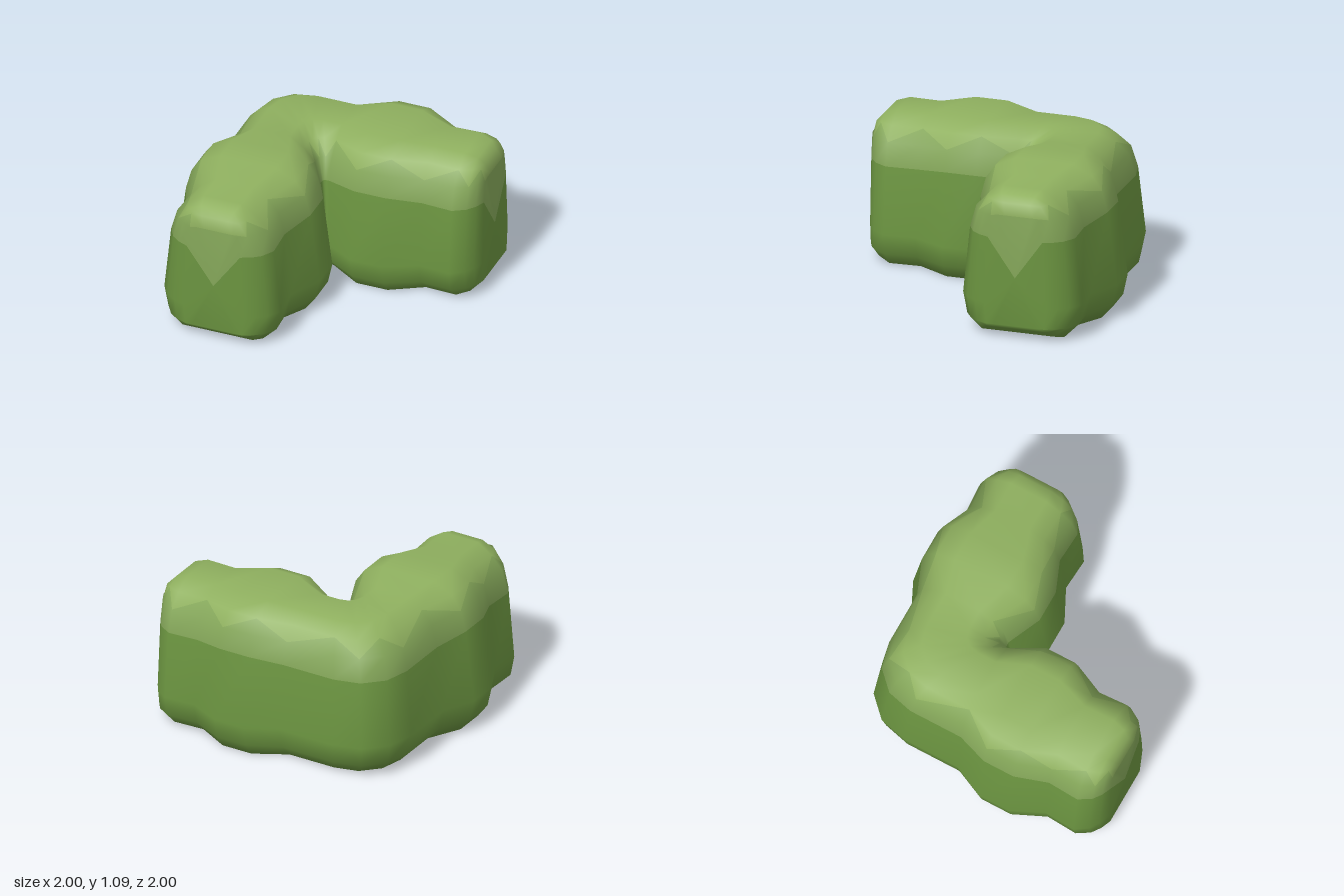
import * as THREE from 'three';

// Half profile from ground to crown: [half width, y] where the hedge is slim and where it bulges
const SLIM = [[0.30, 0], [0.40, 0.1], [0.43, 0.25], [0.38, 0.73], [0.335, 0.89], [0.25, 0.985], [0.14, 1.057]];
const WIDE = [[0.42, 0], [0.495, 0.1], [0.5275, 0.25], [0.46, 0.77], [0.42, 0.92], [0.35, 1.02], [0.205, 1.09]];

// Closed section, up the outer side and down the inner side, as [offset across, y]
function section(profile, centre, scale = 1, low = 0, high = 2) {
  const y = (p) => Math.min(high, Math.max(low, p[1]));
  const outer = profile.map((p) => [centre - p[0] * scale, y(p)]);
  const inner = profile.map((p) => [centre + p[0] * scale, y(p)]).reverse();
  return [...outer, ...inner];
}

// Sections of one arm from its rounded tip to the corner: [distance, section]
const ARM = [
  [1.0, section(SLIM, -0.475, 0.52, 0.1, 0.9)],
  [0.97, section(SLIM, -0.475, 0.7, 0.07, 0.98)],
  [0.925, section(SLIM, -0.475, 0.86, 0.03, 1.03)],
  [0.835, section(SLIM, -0.475)],
  [0.61, section(SLIM, -0.475, 0.965)],
  [0.38, section(WIDE, -0.4725)],
  [0.15, section(WIDE, -0.4725)],
  [-0.08, section(SLIM, -0.485, 0.942)],
];

// Outer points of the bend; its sections fan around the inner corner
const BEND = [[-0.89, -0.5], [-0.84, -0.7], [-0.7, -0.84], [-0.5, -0.89]];
const PIVOT = -0.08;

function createRings() {
  const front = ARM.map(([d, s]) => s.map(([u, y]) => [u, y, d]));
  const side = ARM.map(([d, s]) => s.map(([u, y]) => [d, y, u])).reverse();
  const bend = BEND.map(([ox, oz]) => ARM[ARM.length - 1][1].map(([u, y]) => {
    const t = (PIVOT - u) / 0.81;
    return [PIVOT + (ox - PIVOT) * t, y, PIVOT + (oz - PIVOT) * t];
  }));
  return [...front, ...bend, ...side];
}

export function createModel() {
  const rings = createRings();
  const n = rings[0].length;
  const sides = [], shoulder = [], crown = [];

  // Skin between neighbouring sections, sorted by foliage tone
  for (let s = 0; s < rings.length - 1; s++) {
    for (let k = 0; k < n; k++) {
      const a = s * n + k, b = s * n + (k + 1) % n;
      const c = a + n, d = b + n;
      const level = k <= 6 ? k : 12 - k;
      if (level === 4) {
        // Ragged edge between shoulder and crown
        const [low, high] = k < 7 ? [shoulder, crown] : [crown, shoulder];
        if (s % 2) {
          low.push(a, b, c);
          high.push(b, d, c);
        } else {
          high.push(a, b, d);
          low.push(a, d, c);
        }
      } else {
        const target = level < 3 ? sides : level === 3 ? shoulder : crown;
        target.push(a, b, c, b, d, c);
      }
    }
  }

  // Flat tips of both arms
  const points = rings.flat();
  const last = (rings.length - 1) * n;
  const tipA = points.push([-0.475, 0.45, 1]) - 1;
  const tipB = points.push([1, 0.45, -0.475]) - 1;
  for (let k = 0; k < n; k++) {
    const next = (k + 1) % n;
    const level = k <= 6 ? k : 12 - k;
    const target = level < 3 ? sides : shoulder;
    target.push(tipA, next, k, tipB, last + k, last + next);
  }

  // Normals are shared so the tones blend over one smooth surface
  const whole = new THREE.BufferGeometry();
  whole.setAttribute('position', new THREE.Float32BufferAttribute(points.flat(), 3));
  whole.setIndex([...sides, ...shoulder, ...crown]);
  whole.computeVertexNormals();

  const group = new THREE.Group();
  group.name = 'cornerHedge';
  const addPart = (name, index, color) => {
    const geometry = new THREE.BufferGeometry();
    geometry.setAttribute('position', whole.getAttribute('position'));
    geometry.setAttribute('normal', whole.getAttribute('normal'));
    geometry.setIndex(index);
    const mesh = new THREE.Mesh(geometry, new THREE.MeshStandardMaterial({ color }));
    mesh.name = name;
    group.add(mesh);
  };
  addPart('hedgeSides', sides, 0x6b9440);
  addPart('hedgeShoulder', shoulder, 0x84a659);
  addPart('hedgeCrown', crown, 0x8fb05f);
  return group;
}
